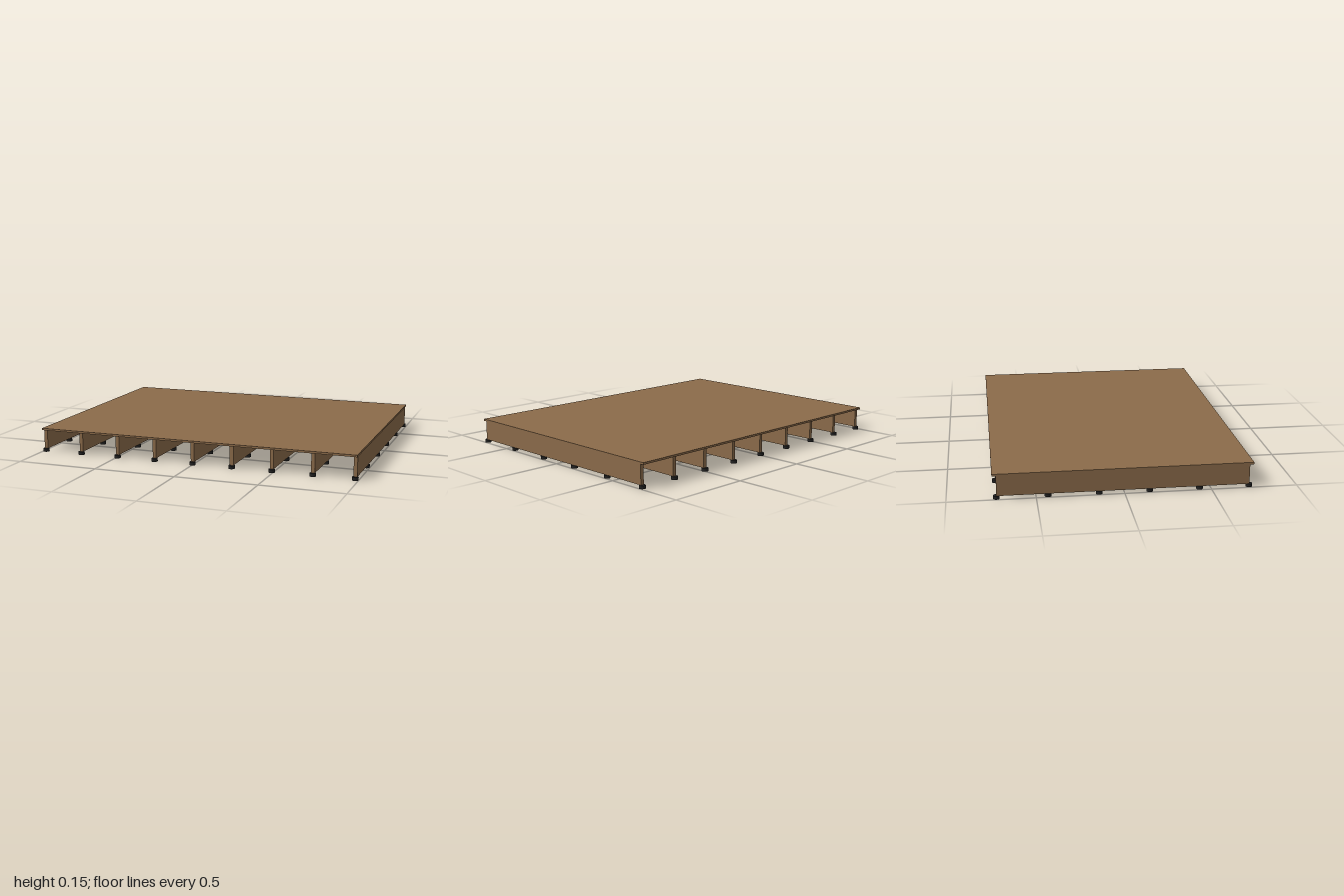
import * as THREE from 'three';

export function createModel() {
  const model = new THREE.Group();
  model.name = 'deckPlatform';

  const wood = new THREE.MeshStandardMaterial({ color: 0x8b6b4a });
  wood.name = 'brown wood';
  const rubber = new THREE.MeshStandardMaterial({ color: 0x222222 });
  rubber.name = 'black rubber';

  const footHeight = 0.019, deckBottom = 0.138, deckTop = 0.15;
  const joistCount = 9, footCount = 6;
  const joistReach = 0.981, footReach = 0.722;

  const add = (parent, name, geometry, material, x, y, z) => {
    const mesh = new THREE.Mesh(geometry, material);
    mesh.name = name;
    mesh.position.set(x, y, z);
    parent.add(mesh);
  };
  // Evenly spaced position between -reach and +reach
  const spread = (i, count, reach) => -reach + (2 * reach * i) / (count - 1);

  // Flat top board
  add(model, 'deckBoard', new THREE.BoxGeometry(1.988, deckTop - deckBottom, 1.49), wood,
    0, (deckTop + deckBottom) / 2, 0);

  // Joists running front to back, each standing on a row of round feet
  const joistGeometry = new THREE.BoxGeometry(0.022, deckBottom - footHeight, 2 * footReach);
  const footGeometry = new THREE.CylinderGeometry(0.019, 0.019, footHeight, 16);
  for (let i = 0; i < joistCount; i++) {
    const row = new THREE.Group();
    row.name = 'joistRow';
    row.position.x = spread(i, joistCount, joistReach);
    add(row, 'joist', joistGeometry, wood, 0, (footHeight + deckBottom) / 2, 0);
    for (let j = 0; j < footCount; j++) {
      add(row, 'foot', footGeometry, rubber, 0, footHeight / 2, spread(j, footCount, footReach));
    }
    model.add(row);
  }
  return model;
}
